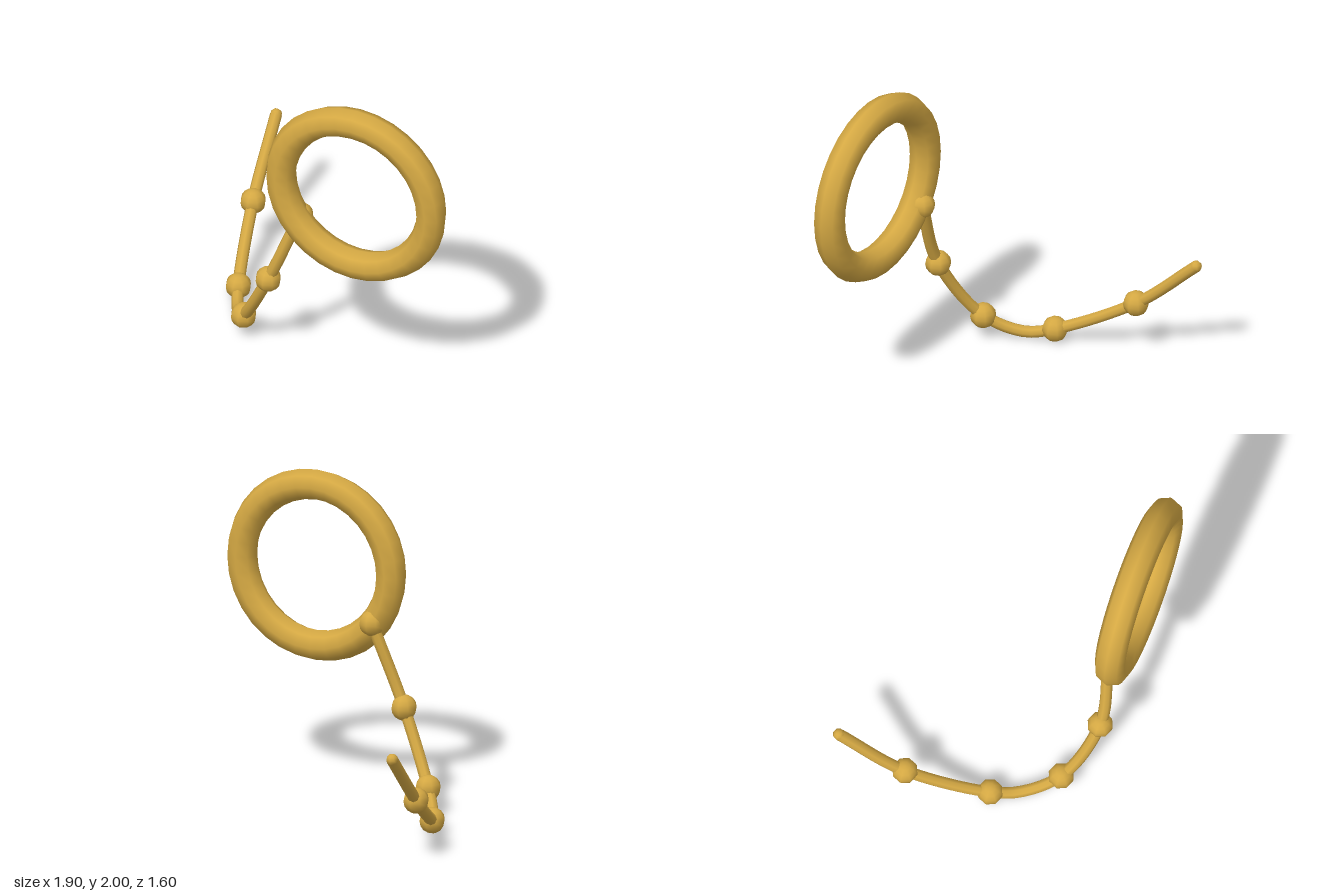
import * as THREE from 'three';

export function createModel() {
  const model = new THREE.Group();
  const gold = new THREE.MeshStandardMaterial({ color: 0xd4a843 });
  gold.name = 'gold';

  function add(name, geometry, position) {
    const mesh = new THREE.Mesh(geometry, gold);
    mesh.name = name;
    if (position) mesh.position.copy(position);
    model.add(mesh);
    return mesh;
  }

  // Large upright ring
  add('ring', new THREE.TorusGeometry(0.505, 0.095, 8, 32), new THREE.Vector3(0.35, 1.4, 0.7));

  // Beads along the cord, from the ring to the free end
  const beads = [
    [-0.05, 1.1, 0.65],
    [-0.255, 0.59, 0.675],
    [-0.5, 0.16, 0.515],
    [-0.72, 0.085, 0.14],
    [-0.865, 0.36, -0.355],
  ].map((p) => new THREE.Vector3(...p));
  const beadGeometry = new THREE.SphereGeometry(0.08, 8, 8);
  beads.forEach((p, i) => add('bead' + (i + 1), beadGeometry, p));

  // Cord sagging through the beads
  const radius = 0.037;
  const sag = new THREE.Vector3(-0.64, 0.048, 0.31);
  const tip = new THREE.Vector3(-0.912, 0.73, -0.763);
  const path = new THREE.CatmullRomCurve3([...beads.slice(0, 3), sag, ...beads.slice(3), tip]);
  add('cord', new THREE.TubeGeometry(path, 48, radius, 8));

  // Rounded free end
  add('cordTip', new THREE.SphereGeometry(radius, 8, 6), tip);

  return model;
}
